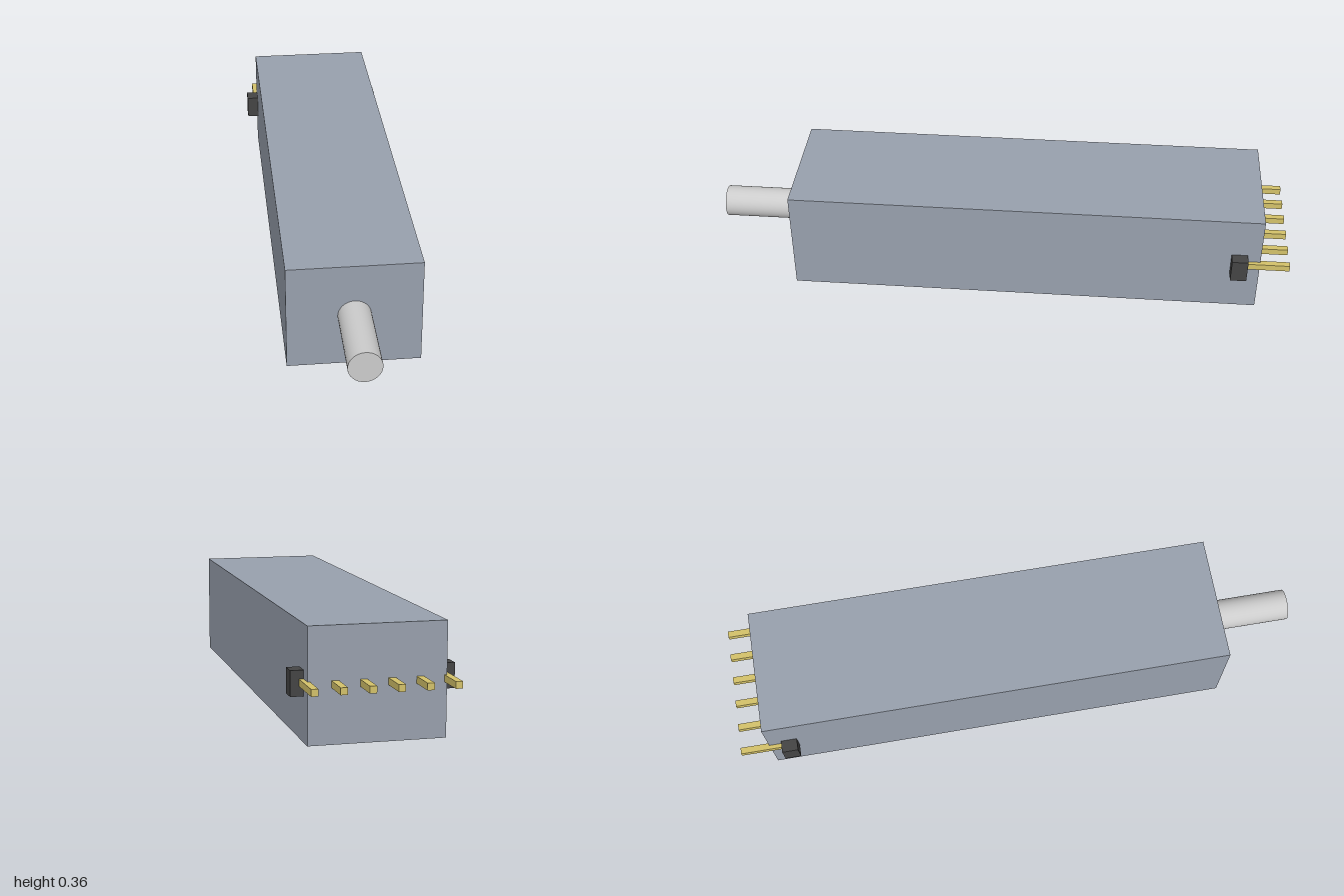
import * as THREE from 'three';

export function createModel() {
  const group = new THREE.Group();
  const midY = 0.181;
  const material = (color) => new THREE.MeshStandardMaterial({ color });

  const add = (name, geometry, mat, x, y, z) => {
    const mesh = new THREE.Mesh(geometry, mat);
    mesh.name = name;
    mesh.position.set(x, y, z);
    group.add(mesh);
    return mesh;
  };

  // Long rectangular housing
  add('housing', new THREE.BoxGeometry(0.434, 0.362, 1.625), material(0x98a0ad), 0, midY, -0.0875);

  // Round shaft at the front, seated slightly in the housing
  const shaft = add('shaft', new THREE.CylinderGeometry(0.054, 0.054, 0.285, 32), material(0xcccccc), 0, midY, 0.8575);
  shaft.rotation.x = Math.PI / 2;

  // Pin header bar, its ends showing on both sides
  add('pinHeader', new THREE.BoxGeometry(0.516, 0.08, 0.055), material(0x444444), 0, midY + 0.001, -0.8275);

  // Row of six square pins pointing backwards
  const pins = new THREE.Group();
  pins.name = 'pins';
  const pinGeometry = new THREE.BoxGeometry(0.022, 0.022, 0.15);
  const gold = material(0xd4c26a);
  for (let i = 0; i < 6; i++) {
    const pin = new THREE.Mesh(pinGeometry, gold);
    pin.name = `pin${i + 1}`;
    pin.position.set((i - 2.5) * 0.088, midY + 0.003, -0.925);
    pins.add(pin);
  }
  group.add(pins);

  return group;
}
